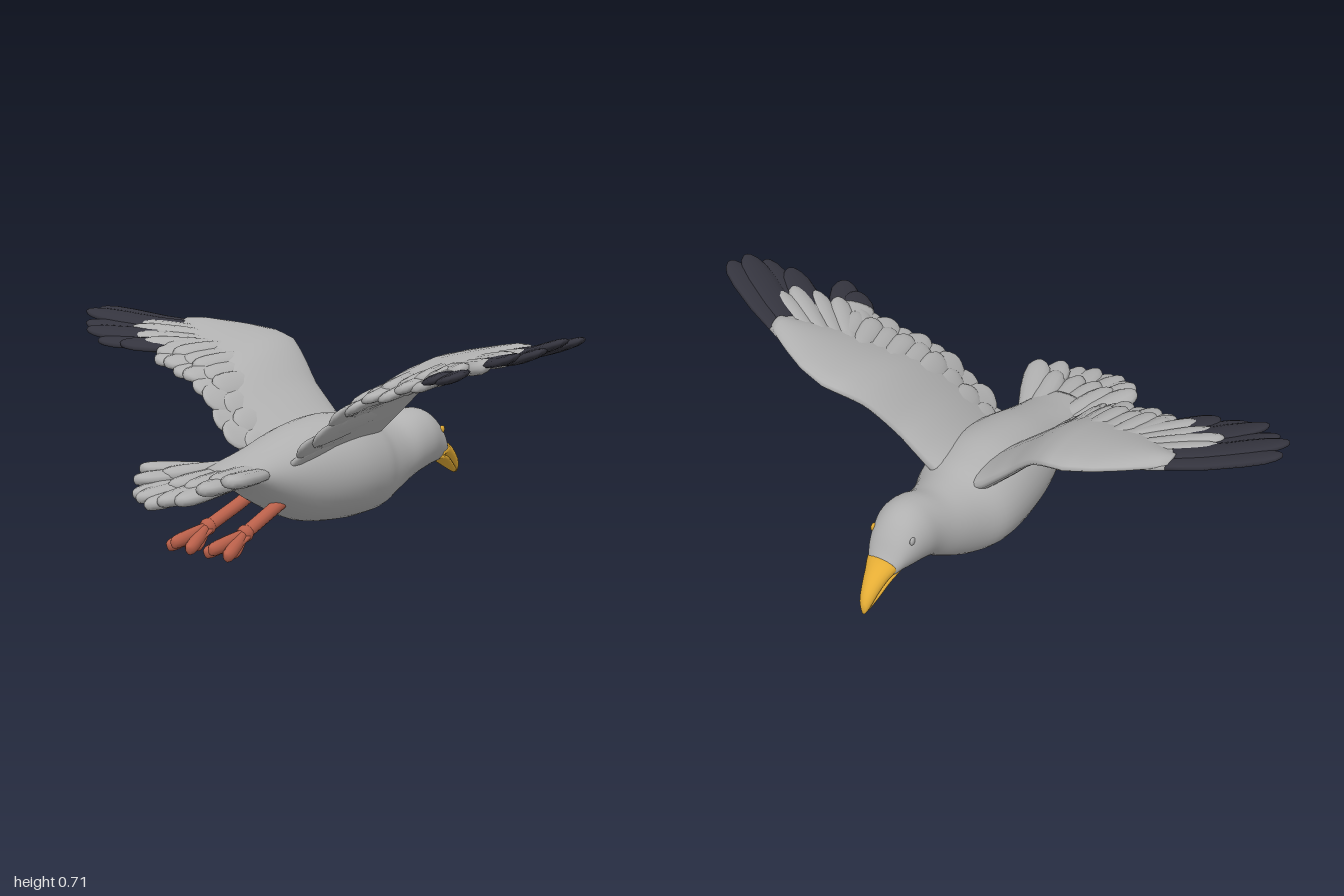
import * as THREE from 'three';

const mat = (name, color) => Object.assign(new THREE.MeshStandardMaterial({ color }), { name });
const V = (x, y, z) => new THREE.Vector3(x, y, z);

// Smooth skin over equal-sized rings of points, closed at both ends and always facing outward
function loft(rings) {
  const n = rings[0].length, pos = [], idx = [];
  rings.forEach(r => r.forEach(p => pos.push(p.x, p.y, p.z)));
  for (let i = 0; i < rings.length - 1; i++)
    for (let j = 0; j < n; j++) {
      const a = i * n + j, b = i * n + (j + 1) % n;
      idx.push(a, b, a + n, b, b + n, a + n);
    }
  [0, rings.length - 1].forEach(i => {
    const c = rings[i].reduce((s, p) => s.add(p), V(0, 0, 0)).divideScalar(n), k = pos.length / 3;
    pos.push(c.x, c.y, c.z);
    for (let j = 0; j < n; j++) {
      const a = i * n + j, b = i * n + (j + 1) % n;
      idx.push(...(i ? [a, b, k] : [b, a, k]));
    }
  });
  const at = i => V().fromArray(pos, i * 3);
  let volume = 0;
  for (let i = 0; i < idx.length; i += 3) volume += at(idx[i]).dot(at(idx[i + 1]).cross(at(idx[i + 2])));
  if (volume < 0) idx.reverse();
  const g = new THREE.BufferGeometry();
  g.setAttribute('position', new THREE.Float32BufferAttribute(pos, 3));
  g.setIndex(idx);
  g.computeVertexNormals();
  return g;
}

// Elliptical ring around c spanned by half axes u and v
const ring = (c, u, v, n) => Array.from({ length: n }, (_, j) => {
  const a = j / n * Math.PI * 2;
  return c.clone().addScaledVector(u, Math.cos(a)).addScaledVector(v, Math.sin(a));
});

// Linear lookup of column k in a table sorted by its first column
function look(table, s, k = 1) {
  let i = 1;
  while (i < table.length - 1 && table[i][0] < s) i++;
  const a = table[i - 1], b = table[i];
  return THREE.MathUtils.lerp(a[k], b[k], THREE.MathUtils.clamp((s - a[0]) / (b[0] - a[0]), 0, 1));
}

// Body and beak stations: z, top, bottom, centre x, half width
const BODY = [
  [0.44, 0.28, 0.22, -0.02, 0.07], [0.35, 0.30, 0.2, -0.015, 0.1], [0.25, 0.33, 0.14, -0.01, 0.122],
  [0.1, 0.375, 0.07, -0.005, 0.16], [-0.05, 0.395, 0.05, 0, 0.183], [-0.17, 0.38, 0.05, 0, 0.175],
  [-0.25, 0.358, 0.06, 0.01, 0.14], [-0.33, 0.352, 0.1, 0.02, 0.115], [-0.4, 0.37, 0.14, 0.036, 0.103],
  [-0.46, 0.372, 0.16, 0.04, 0.098], [-0.51, 0.352, 0.17, 0.04, 0.085], [-0.55, 0.31, 0.177, 0.042, 0.07],
  [-0.58, 0.262, 0.18, 0.042, 0.053], [-0.6, 0.235, 0.185, 0.042, 0.035]];
const UPPER_BEAK = [
  [-0.54, 0.228, 0.198, 0.054, 0.06], [-0.58, 0.247, 0.19, 0.046, 0.055], [-0.62, 0.238, 0.176, 0.04, 0.042],
  [-0.66, 0.215, 0.153, 0.036, 0.031], [-0.695, 0.18, 0.125, 0.033, 0.02], [-0.71, 0.15, 0.118, 0.03, 0.008]];
const LOWER_BEAK = [
  [-0.54, 0.215, 0.188, 0.05, 0.06], [-0.6, 0.2, 0.168, 0.042, 0.043], [-0.65, 0.17, 0.141, 0.037, 0.028],
  [-0.69, 0.14, 0.12, 0.034, 0.014]];

// Rounds a coarse station table into a denser, curved one
function smoothStations(rows, count) {
  const curves = [0, 1, 2, 3, 4].map(k => new THREE.SplineCurve(rows.map((r, i) => new THREE.Vector2(i, r[k]))));
  return Array.from({ length: count + 1 }, (_, i) => curves.map(c => c.getPoint(i / count).y));
}
const stationLoft = (rows, count, n) => loft(smoothStations(rows, count).map(([z, t, b, x, w]) =>
  ring(V(x, (t + b) / 2, z), V(w, 0, 0), V(0, (t - b) / 2, 0), n)));

// Wing leading-edge height by span, and arm chord: span, front z, rear z, half thickness
const LEAD = [[0.03, 0.32], [0.1, 0.365], [0.2, 0.455], [0.25, 0.505], [0.3, 0.547], [0.36, 0.577], [0.43, 0.592],
  [0.66, 0.635], [0.8, 0.657], [1, 0.705]];
const ARM = [[0.03, -0.23, 0.15, 0.045], [0.1, -0.235, 0.18, 0.055], [0.2, -0.245, 0.17, 0.046], [0.3, -0.285, 0.12, 0.036],
  [0.36, -0.315, 0.09, 0.032], [0.43, -0.325, 0.06, 0.03], [0.52, -0.305, 0.02, 0.026], [0.6, -0.265, -0.03, 0.023],
  [0.66, -0.23, -0.08, 0.018], [0.71, -0.195, -0.11, 0.008]];
const wingY = (side, s, z) => {
  const out = Math.max(0, (s - 0.4) / 0.6), drop = side > 0 ? 0.08 - 0.05 * out : 0.08 - 0.02 * out;
  return look(LEAD, s) - drop * THREE.MathUtils.clamp((z + 0.3) / 0.5, 0, 1) + (side > 0 ? 0.03 * out : 0);
};

const WIDTH = [[0, 0.5], [0.2, 0.75], [0.5, 0.95], [0.75, 1], [0.88, 0.88], [0.95, 0.62], [0.985, 0.35], [1, 0.08]];

// Rounded feather from base to tip between fractions t0 and t1; may be draped over a height field
function feather(base, tip, width, thick, t0 = 0, t1 = 1, height) {
  const d = tip.clone().sub(base).normalize();
  const u = d.clone().cross(V(0, 1, 0)).normalize(), v = height ? V(0, 1, 0) : u.clone().cross(d);
  const stops = [t0, ...[0.2, 0.35, 0.5, 0.65, 0.75, 0.82, 0.88, 0.92, 0.95, 0.97, 0.985].filter(t => t > t0 && t < t1), t1];
  return loft(stops.map(t => {
    const c = base.clone().lerp(tip, t), w = look(WIDTH, t);
    if (height) c.y = 0;
    const points = ring(c, u.clone().multiplyScalar(w * width / 2), v.clone().multiplyScalar(Math.sqrt(w) * thick / 2), 12);
    if (height) points.forEach(p => { p.y += height(p); });
    return points;
  }));
}

export function createModel() {
  const grey = mat('plumage grey', 0xb0b0b0), dark = mat('wingtip black', 0x34343e);
  const yellow = mat('beak yellow', 0xe5ad35), red = mat('leg red', 0xb9604a);
  const model = new THREE.Group();
  model.name = 'flyingGull';
  const add = (parent, name, geometry, material) => {
    const m = new THREE.Mesh(geometry, material);
    m.name = name;
    parent.add(m);
    return m;
  };
  const group = name => {
    const g = new THREE.Group();
    g.name = name;
    model.add(g);
    return g;
  };

  // Body, head and beak
  add(model, 'body', stationLoft(BODY, 52, 36), grey);
  add(model, 'upperBeak', stationLoft(UPPER_BEAK, 16, 18), yellow);
  add(model, 'lowerBeak', stationLoft(LOWER_BEAK, 10, 16), yellow);
  // Only the left eye is painted
  for (const [name, x, paint] of [['leftEye', 0.112, yellow], ['rightEye', -0.03, grey]]) {
    const eye = add(model, name, new THREE.SphereGeometry(0.013, 12, 8), paint);
    eye.position.set(x, 0.297, -0.523);
    eye.scale.x = 0.5;
  }

  // Tail fan, with the outer feathers raised
  const tail = group('tail');
  for (let i = 0; i < 9; i++) {
    const u = i / 4 - 1;
    add(tail, 'tailFeather', feather(V(-0.015 + u * 0.06, 0.25, 0.28), V(-0.03 + u * 0.185 - 0.02 * (1 - u * u),
      0.2 + 0.075 * u * u + (i % 2) * 0.01, 0.71 - 0.14 * u * u), 0.092, 0.048), grey);
    if (i % 2) add(tail, 'tailCovert', feather(V(-0.015 + u * 0.04, 0.262, 0.25),
      V(-0.028 + u * 0.14, 0.235 + 0.045 * u * u, 0.6 - 0.08 * u * u), 0.085, 0.055), grey);
  }

  // Wings: fleshy arm, dark-ended primaries, secondaries and covert rows
  for (const side of [-1, 1]) {
    const wing = group(side > 0 ? 'leftWing' : 'rightWing');
    const rows = Array.from({ length: 30 }, (_, i) => 0.03 + 0.68 * i / 29);
    add(wing, 'wingArm', loft(rows.map(s => {
      const z0 = look(ARM, s, 1), z1 = look(ARM, s, 2), h = look(ARM, s, 3);
      return Array.from({ length: 24 }, (_, j) => {
        const a = j / 24 * Math.PI * 2, f = (1 - Math.cos(a)) / 2, z = z0 + (z1 - z0) * f;
        return V(side * s, wingY(side, s, z) + h * Math.sin(a) * (1.15 - 0.6 * f) + 0.015 * Math.sin(f * Math.PI), z);
      });
    })), grey);

    const plume = (name, base, tip, width, thick, lift, split) => {
      const a = V(side * base[0], 0, base[1]), b = V(side * tip[0], 0, tip[1]);
      const height = p => wingY(side, Math.abs(p.x), p.z) + lift;
      if (!split) return add(wing, name, feather(a, b, width, thick, 0, 1, height), grey);
      const t = THREE.MathUtils.clamp((split - base[0]) / (tip[0] - base[0]), 0.2, 0.8);
      add(wing, name + 'Base', feather(a, b, width, thick, 0, t, height), grey);
      add(wing, name + 'Tip', feather(a, b, width, thick, t, 1, height), dark);
    };

    const primaries = side > 0
      ? [[0.995, -0.015], [0.975, 0.045], [0.93, 0.09], [0.85, 0.115], [0.71, 0.225], [0.64, 0.2]]
      : [[0.995, -0.015], [0.985, 0.055], [0.93, 0.11], [0.87, 0.165], [0.8, 0.18], [0.71, 0.165]];
    primaries.forEach((tip, i) => plume('primary', [0.58 - i * 0.025, -0.225 + i * 0.026], tip,
      0.104, 0.032, (i % 2) * 0.01 - 0.005, i < 4 ? 0.69 : 0.6));
    [[0.8, -0.02], [0.785, 0.035], [0.73, 0.08], [0.66, 0.11], [0.58, 0.125]].forEach((tip, i) =>
      plume('primaryCovert', [0.52 - i * 0.02, -0.17 + i * 0.025], tip, 0.08, 0.05, 0.004 * (i % 2)));

    for (let i = 0; i < 9; i++) {
      const f = i / 8, s = 0.55 - 0.45 * f;
      plume('secondary', [s - 0.07 * (1 - f), -0.06], [s, 0.16 + 0.1 * f - (i === 8 ? 0.03 : 0)], 0.095, 0.038, (i % 2) * 0.01 - 0.008);
      plume('secondaryCovert', [s - 0.05 * (1 - f), -0.1], [s + 0.02, 0.1 + 0.095 * f], 0.085, 0.058, (i % 2) * 0.006);
    }
  }

  // Trailing legs with three long toes and a short hind toe
  for (const [name, x, lean] of [['rightLeg', -0.095, -0.025], ['leftLeg', 0.048, -0.01]]) {
    const leg = group(name);
    const ankle = V(x + lean, 0.075, 0.37);
    const path = new THREE.CatmullRomCurve3([V(x, 0.17, 0.17), V(x, 0.135, 0.25), V(x + lean * 0.5, 0.105, 0.31), ankle]);
    add(leg, 'shank', new THREE.TubeGeometry(path, 14, 0.021, 12), red);
    const joint = add(leg, 'ankle', new THREE.SphereGeometry(0.027, 12, 8), red);
    joint.position.copy(ankle);
    for (const k of [-1, 0, 1])
      add(leg, 'toe', feather(ankle, V(ankle.x + k * 0.045, k ? 0.025 : 0.045, k ? 0.505 : 0.53), 0.042, 0.044), red);
    add(leg, 'hindToe', feather(ankle, V(ankle.x + 0.005, 0.012, 0.43), 0.036, 0.034), red);
    add(leg, 'web', feather(V(ankle.x, 0.075, 0.35), V(ankle.x, 0.035, 0.48), 0.075, 0.026), red);
  }
  return model;
}
